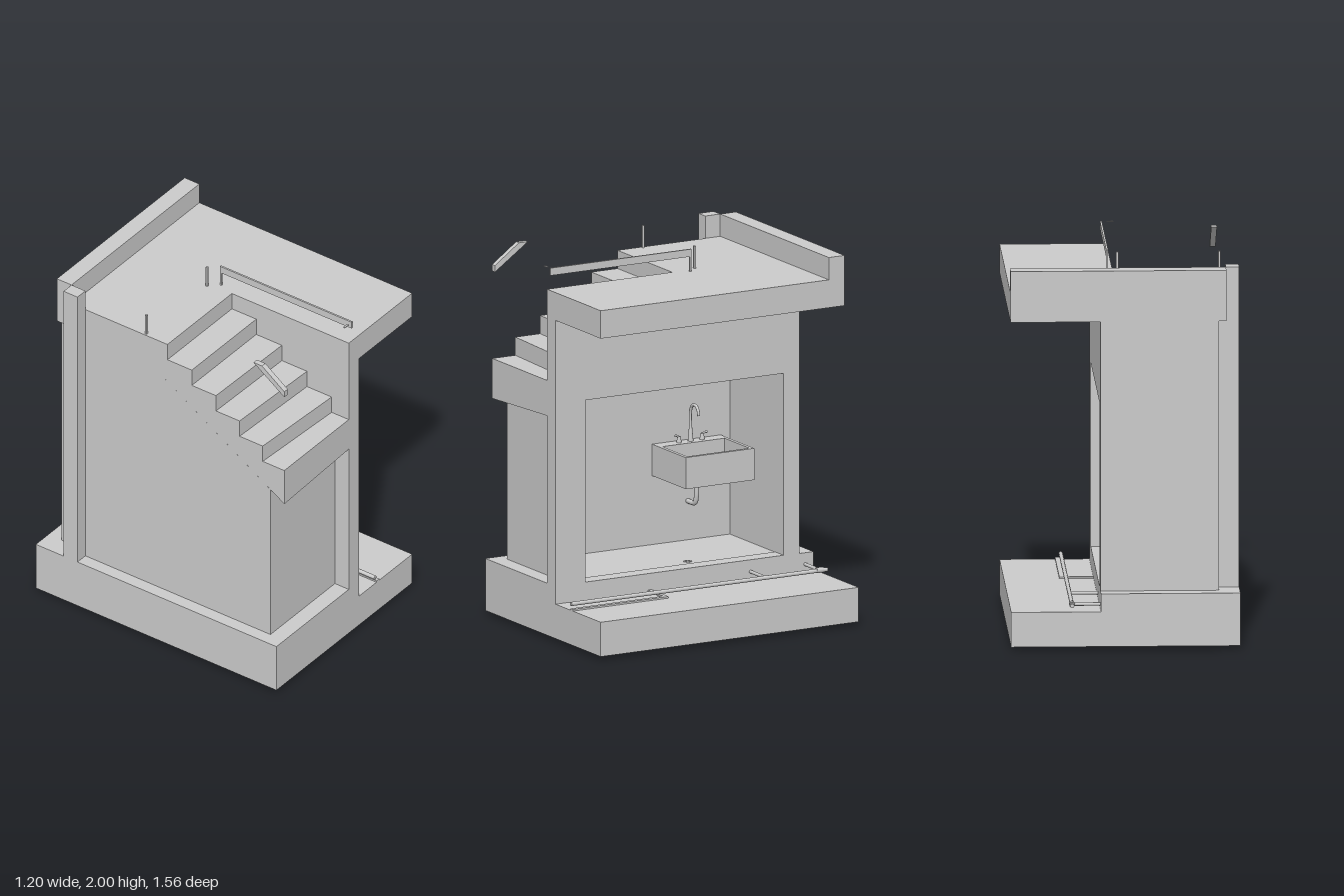
import * as THREE from 'three';

export function createModel() {
  const root = new THREE.Group();
  const mat = new THREE.MeshStandardMaterial({ color: 0xcccccc });

  const add = (name, geo) => {
    const mesh = new THREE.Mesh(geo, mat);
    mesh.name = name;
    root.add(mesh);
    return mesh;
  };
  // Box from its min / max along each axis
  const box = (name, x0, x1, y0, y1, z0, z1) =>
    add(name, new THREE.BoxGeometry(x1 - x0, y1 - y0, z1 - z0)
      .translate((x0 + x1) / 2, (y0 + y1) / 2, (z0 + z1) / 2));
  const path = (Type, pts) => new Type(pts.map(p => new THREE.Vector2(...p)));
  // Side profile in (z, y), extruded across x
  const sideProfile = (pts, x0, x1, hole) => {
    const s = path(THREE.Shape, pts);
    if (hole) s.holes.push(path(THREE.Path, hole));
    return new THREE.ExtrudeGeometry(s, { depth: x1 - x0, bevelEnabled: false })
      .rotateY(-Math.PI / 2).translate(x1, 0, 0);
  };
  // Plan outline in (x, -z), extruded up y
  const plan = (pts, y0, y1, hole) => {
    const s = path(THREE.Shape, pts.map(([x, z]) => [x, -z]));
    if (hole) s.holes.push(path(THREE.Path, hole.map(([x, z]) => [x, -z])));
    return new THREE.ExtrudeGeometry(s, { depth: y1 - y0, bevelEnabled: false })
      .rotateX(-Math.PI / 2).translate(0, y0, 0);
  };
  const tube = (name, pts, r) => add(name, new THREE.TubeGeometry(
    new THREE.CatmullRomCurve3(pts.map(p => new THREE.Vector3(...p))), 24, r, 10));
  const rod = (name, r0, r1, len, x, y, z, axis = 'y') => {
    const g = new THREE.CylinderGeometry(r1, r0, len, 14);
    if (axis === 'x') g.rotateZ(Math.PI / 2);
    if (axis === 'z') g.rotateX(Math.PI / 2);
    return add(name, g.translate(x, y, z));
  };

  // Ground: raised floor under the room, lower porch beside it
  box('roomFoundation', -0.6, 0.13, 0.02, 0.3, -0.78, 0.78);
  box('porchFoundation', 0.13, 0.6, 0.02, 0.205, -0.78, 0.78);

  // Walls of the room
  add('openWall', sideProfile(
    [[-0.695, 0.3], [0.78, 0.3], [0.78, 1.73], [-0.695, 1.73]], 0.04, 0.13,
    [[-0.6, 0.302], [-0.6, 1.28], [0.6, 1.28], [0.6, 0.302]]));
  add('outerWall', sideProfile(
    [[-0.6, 0.3], [0.69, 0.3], [0.69, 1.23], [-0.12, 1.73], [-0.6, 1.73]], -0.53, -0.43));
  box('backWall', -0.49, 0.04, 0.3, 1.73, -0.695, -0.6);
  box('frontWall', -0.53, 0.04, 0.3, 1.23, 0.6, 0.69);
  box('cornerPillar', -0.6, -0.53, 0.3, 2, -0.6, -0.51);

  // Roof slab with a cut-out for the stair, and the beam behind it
  add('roofSlab', plan([[-0.53, -0.6], [-0.53, -0.12], [0.04, -0.12],
    [0.04, 0.78], [0.6, 0.78], [0.6, -0.6]], 1.73, 1.88));
  box('backBeam', -0.53, 0.6, 1.73, 2, -0.695, -0.6);

  // Stair: five treads rising to the roof over a sloping soffit
  const steps = [[0.78, 1.175], [0.78, 1.39]];
  [0.64, 0.49, 0.337, 0.18, 0.022].forEach((z, i) =>
    steps.push([z, 1.39 + i * 0.098], [z, 1.39 + (i + 1) * 0.098]));
  steps.push([-0.12, 1.88], [-0.12, 1.73]);
  const stair = sideProfile(steps, -0.53, 0.04);
  const p = stair.attributes.position;
  // The lower nosings and the soffit are slightly skewed across the width
  for (let i = 0; i < p.count; i++) {
    if (p.getX(i) < 0) continue;
    const z = p.getZ(i);
    if (z > 0.2 && z < 0.7) p.setZ(i, z + (z - 0.2) * 0.065);
    if (p.getY(i) < 1.2) p.setY(i, 1.2);
  }
  stair.computeVertexNormals();
  add('stair', stair);

  // Railings
  box('roofRail', 0.065, 0.075, 1.96, 2, -0.07, 0.78);
  box('roofRailPost', 0.065, 0.075, 1.88, 2, -0.075, -0.065);
  for (const x of [-0.515, 0.02])
    box('stairPost', x - 0.006, x + 0.006, 1.72, 2, -0.131, -0.119);
  add('stairHandrail', sideProfile(
    [[0.78, 1.86], [0.78, 1.895], [0.635, 2], [0.58, 2]], -0.53, -0.5));
  box('handrailEnd', 0.005, 0.04, 1.995, 2, 0.77, 0.78);

  // Sink with a hollow basin and a ledge for the taps
  const rect = (x0, x1, z0, z1) => [[x0, z0], [x0, z1], [x1, z1], [x1, z0]];
  add('sinkSides', plan(rect(-0.43, -0.08, -0.545, -0.13), 0.69, 0.84,
    rect(-0.355, -0.1, -0.525, -0.15)));
  box('sinkBottom', -0.43, -0.08, 0.67, 0.69, -0.545, -0.13);
  rod('sinkDrain', 0.02, 0.02, 0.004, -0.25, 0.692, -0.345);
  tube('sinkWastePipe', [[-0.34, 0.67, -0.345], [-0.34, 0.55, -0.345],
    [-0.355, 0.515, -0.345], [-0.385, 0.51, -0.345], [-0.43, 0.51, -0.345]], 0.013);

  // Tap: tapered stem, curved spout, two lever handles
  rod('tapStem', 0.015, 0.008, 0.08, -0.395, 0.88, -0.342);
  tube('tapSpout', [[-0.395, 0.9, -0.342], [-0.395, 1, -0.342], [-0.375, 1.035, -0.342],
    [-0.34, 1.04, -0.342], [-0.315, 1.015, -0.342], [-0.31, 0.99, -0.342]], 0.008);
  for (const s of [-1, 1]) {
    const z = -0.342 + s * 0.07;
    rod('tapHandleBase', 0.014, 0.009, 0.035, -0.395, 0.855, z);
    tube('tapLever', [[-0.395, 0.865, z], [-0.395, 0.876, z + s * 0.012],
      [-0.395, 0.877, z + s * 0.03]], 0.006);
  }

  // Drains through the floor, showing as domes underneath
  for (const [x, z] of [[-0.01, -0.11], [-0.48, 0.13]])
    add('drainDome', new THREE.SphereGeometry(0.024, 16, 10).scale(1, 0.83, 1).translate(x, 0.02, z));
  for (let i = 0; i < 8; i++) {
    const a = i * Math.PI / 4;
    rod('floorDrainGrate', 0.005, 0.005, 0.003,
      -0.01 + 0.018 * Math.cos(a), 0.301, -0.1 + 0.018 * Math.sin(a));
  }

  // Pipes along the porch
  rod('porchPipe', 0.011, 0.011, 1.55, 0.28, 0.236, 0, 'z');
  for (const z of [-0.73, -0.4])
    rod('porchBranchPipe', 0.009, 0.009, 0.15, 0.205, 0.238, z, 'x');
  rod('pipeJoint', 0.015, 0.015, 0.04, 0.28, 0.238, -0.73, 'z');
  box('porchGutter', 0.285, 0.31, 0.205, 0.214, 0.2, 0.78);
  box('porchGutterBranch', 0.13, 0.285, 0.205, 0.214, 0.2, 0.22);

  return root;
}
